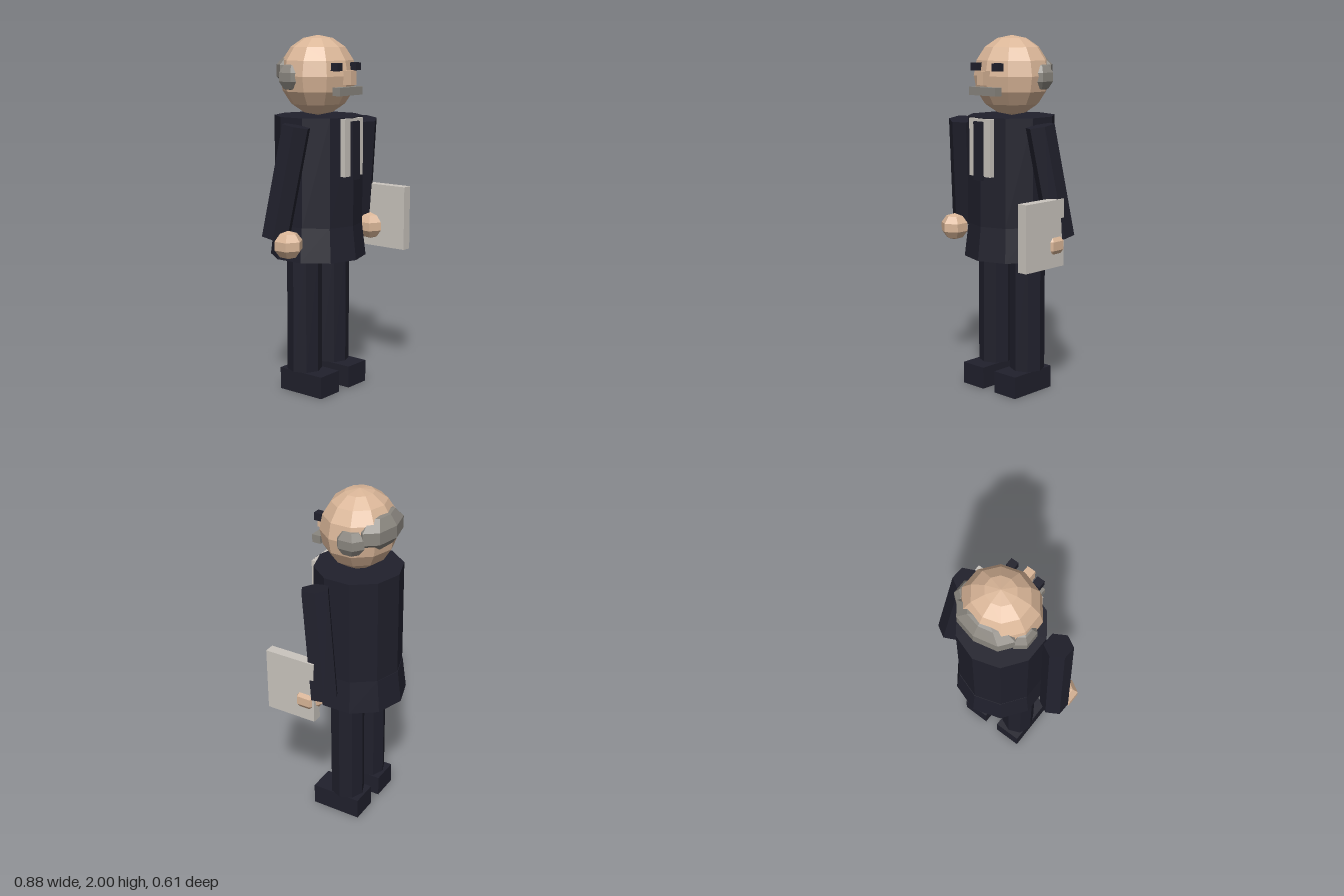
import * as THREE from 'three';

const material = (name, color) => {
  const m = new THREE.MeshStandardMaterial({ color, flatShading: true });
  m.name = name;
  return m;
};

export function createModel() {
  const root = new THREE.Group();
  root.name = 'gentleman';

  const suit = material('navy suit', 0x20202c);
  const skin = material('skin', 0xdab698);
  const hair = material('grey hair', 0x8b8780);
  const paper = material('off white', 0xcac5be);

  const add = (name, geometry, mat, x, y, z) => {
    const mesh = new THREE.Mesh(geometry, mat);
    mesh.name = name;
    mesh.position.set(x, y, z);
    root.add(mesh);
    return mesh;
  };
  const box = (name, mat, [w, h, d], [x, y, z]) =>
    add(name, new THREE.BoxGeometry(w, h, d), mat, x, y, z);
  // Faceted ellipsoid with a vertex column facing front
  const blob = (name, mat, sides, rows, [rx, ry, rz], [x, y, z]) => {
    const g = new THREE.SphereGeometry(1, sides, rows);
    g.rotateY(Math.PI / 2).scale(rx, ry, rz);
    return add(name, g, mat, x, y, z);
  };

  // Coat: straight body with a flared hem
  add('coatBody', new THREE.CylinderGeometry(0.245, 0.247, 0.6, 10), suit, 0, 1.26, -0.03);
  add('coatHem', new THREE.CylinderGeometry(0.247, 0.27, 0.19, 10), suit, 0, 0.865, -0.033);

  // Shirt front and tie
  box('shirtFront', paper, [0.16, 0.315, 0.03], [0, 1.3975, 0.205]);
  box('tie', suit, [0.062, 0.32, 0.02], [0, 1.38, 0.227]);

  // Head and face
  blob('head', skin, 10, 8, [0.222, 0.22, 0.207], [0, 1.78, -0.033]);
  box('nose', skin, [0.048, 0.075, 0.055], [0, 1.772, 0.187]);
  box('moustache', hair, [0.2, 0.045, 0.05], [0, 1.7, 0.175]);

  // Hair around the back of the head
  blob('backHair', hair, 8, 5, [0.19, 0.11, 0.105], [0, 1.805, -0.155]);

  // Mirrored parts
  for (const [side, s] of [['left', 1], ['right', -1]]) {
    box(side + 'Eye', suit, [0.045, 0.042, 0.045], [s * 0.081, 1.831, 0.162]);
    blob(side + 'SideHair', hair, 6, 5, [0.065, 0.078, 0.088], [s * 0.175, 1.775, -0.078]);

    // Arm: hexagonal sleeve running outward and back as it drops
    const top = new THREE.Vector3(s * 0.299, 1.525, 0.062);
    const wrist = new THREE.Vector3(s * 0.368, 0.92, -0.028);
    const axis = top.clone().sub(wrist);
    const mid = top.clone().add(wrist).multiplyScalar(0.5);
    const arm = add(side + 'Arm', new THREE.CylinderGeometry(0.08, 0.08, axis.length(), 6),
      suit, mid.x, mid.y, mid.z);
    arm.quaternion.setFromUnitVectors(new THREE.Vector3(0, 1, 0), axis.normalize());
    blob(side + 'Hand', skin, 6, 5, [0.083, 0.078, 0.083], [s * 0.37, 0.893, 0.064]);

    // Leg and shoe
    add(side + 'Leg', new THREE.CylinderGeometry(0.098, 0.098, 0.68, 8), suit, s * 0.125, 0.465, -0.03);
    box(side + 'Shoe', suit, [0.16, 0.125, 0.298], [s * 0.125, 0.0625, 0.006]);
  }

  // Folder carried in the left hand
  box('folder', paper, [0.058, 0.365, 0.298], [0.395, 0.9575, 0.154]);

  return root;
}
